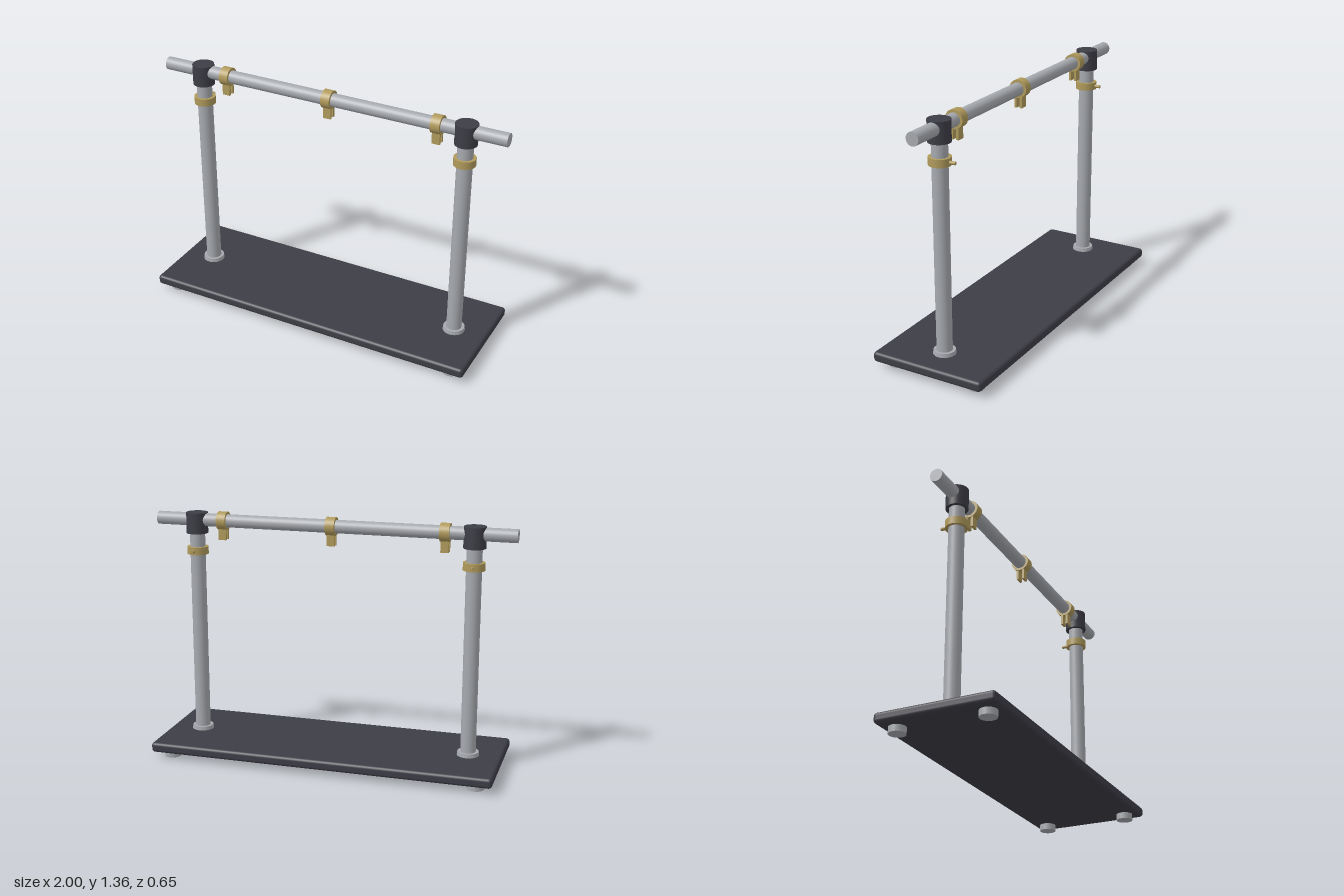
import * as THREE from 'three';
import { RoundedBoxGeometry } from 'three/addons/geometries/RoundedBoxGeometry.js';

export function createModel() {
  const material = (name, color) => {
    const m = new THREE.MeshStandardMaterial({ color });
    m.name = name;
    return m;
  };
  const steel = material('steel grey', 0xa6a9ae);
  const charcoal = material('charcoal', 0x3d3d46);
  const brass = material('brass', 0xb09a5c);

  const model = new THREE.Group();
  model.name = 'railStand';

  const add = (parent, name, geometry, mat, x, y, z) => {
    const mesh = new THREE.Mesh(geometry, mat);
    mesh.name = name;
    mesh.position.set(x, y, z);
    parent.add(mesh);
    return mesh;
  };
  const rod = (r, length, sides = 40) => new THREE.CylinderGeometry(r, r, length, sides);
  // Ring extruded along z and centred on its own depth
  const ring = (outer, inner, depth) => {
    const shape = new THREE.Shape().absarc(0, 0, outer, 0, Math.PI * 2, false);
    shape.holes.push(new THREE.Path().absarc(0, 0, inner, 0, Math.PI * 2, true));
    return new THREE.ExtrudeGeometry(shape, { depth, bevelEnabled: false, curveSegments: 40 })
      .translate(0, 0, -depth / 2);
  };

  const POST_X = 0.775, BAR_Y = 1.31;

  // Base plate and its four feet
  add(model, 'basePlate', new RoundedBoxGeometry(1.916, 0.056, 0.65, 4, 0.018), charcoal, 0, 0.063, 0);
  for (const x of [-0.862, 0.862])
    for (const z of [-0.243, 0.243])
      add(model, 'foot', rod(0.045, 0.04), steel, x, 0.02, z);

  // Posts with floor flange, clamp and top joint
  for (const [side, x] of [['left', POST_X], ['right', -POST_X]]) {
    const post = new THREE.Group();
    post.name = side + 'Post';
    post.position.x = x;
    model.add(post);
    add(post, 'tube', rod(0.042, 1.16), steel, 0, 0.67, 0);
    add(post, 'flange', new THREE.CylinderGeometry(0.058, 0.061, 0.022, 40), steel, 0, 0.101, 0);
    add(post, 'joint', rod(0.06, 0.115), charcoal, 0, 1.2925, 0);
    add(post, 'clampRing', ring(0.059, 0.041, 0.042).rotateX(Math.PI / 2), brass, 0, 1.139, 0);
    add(post, 'clampScrew', rod(0.009, 0.04, 20).rotateX(Math.PI / 2), brass, 0, 1.138, -0.07);
  }

  // Horizontal bar
  add(model, 'bar', rod(0.036, 2).rotateZ(Math.PI / 2), steel, 0, BAR_Y, 0);

  // Hanging clips: a ring around the bar with two ears below
  for (const x of [-0.62, 0, 0.62]) {
    const clip = new THREE.Group();
    clip.name = 'barClip';
    clip.position.set(x, BAR_Y, 0);
    model.add(clip);
    add(clip, 'clipRing', ring(0.05, 0.035, 0.052).rotateY(Math.PI / 2), brass, 0, 0, 0);
    for (const z of [-0.016, 0.016])
      add(clip, 'clipEar', new THREE.BoxGeometry(0.044, 0.066, 0.013), brass, 0, -0.072, z);
  }

  return model;
}
